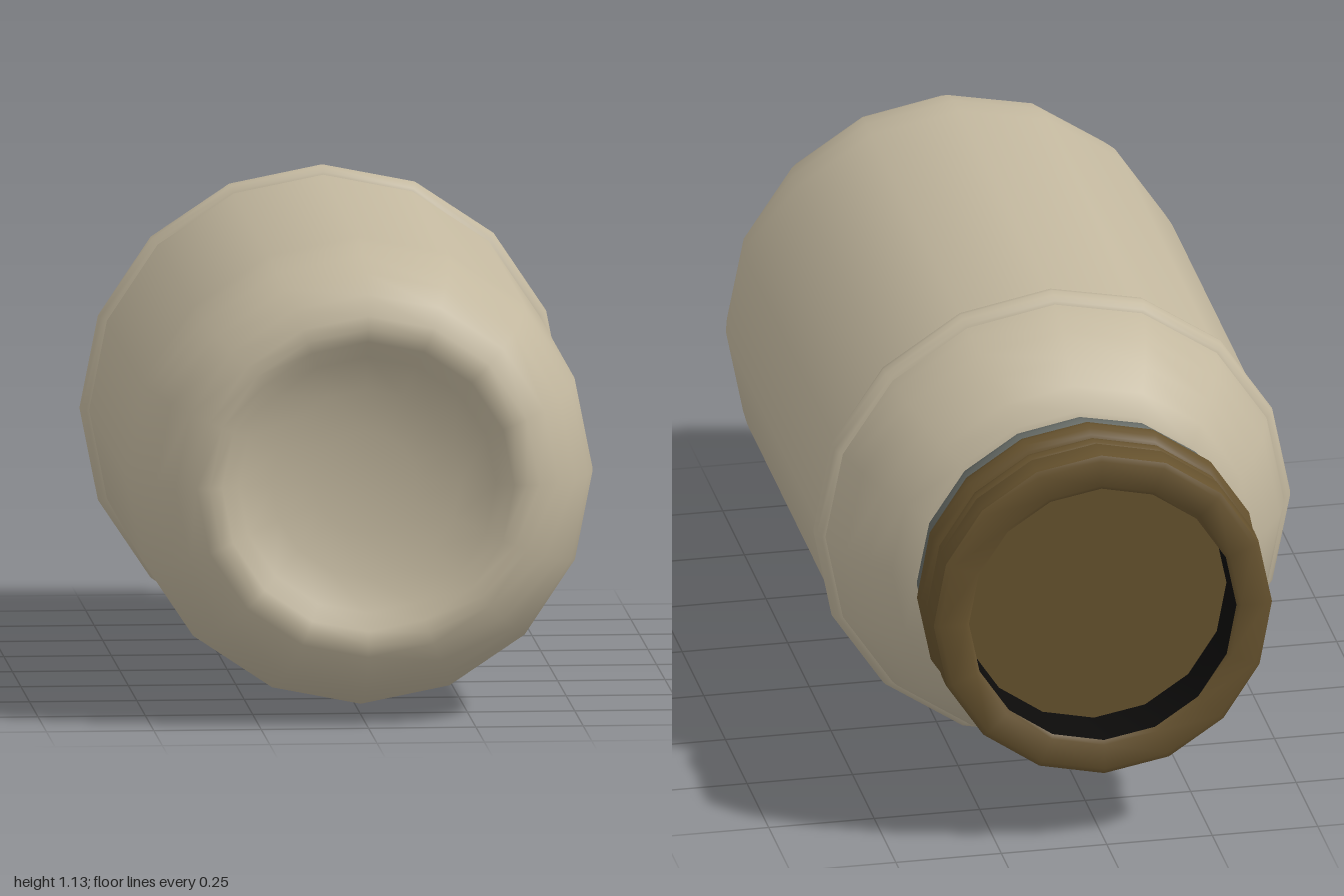
import * as THREE from 'three';
import { toCreasedNormals } from 'three/addons/utils/BufferGeometryUtils.js';

const SIDES = 16;
const AXIS_Y = 0.565;

const mat = (name, color, side = THREE.FrontSide) => {
  const m = new THREE.MeshStandardMaterial({ color, side });
  m.name = name;
  return m;
};

// Turned part lying along z; points are [radius, z], listed from back to front
function turned(name, points, material) {
  const lathe = new THREE.LatheGeometry(points.map(([r, z]) => new THREE.Vector2(r, z)), SIDES);
  lathe.rotateX(Math.PI / 2);
  const mesh = new THREE.Mesh(toCreasedNormals(lathe, 0.75), material);
  mesh.name = name;
  return mesh;
}

// Half-round bead profile between two z values
function bead(r, bulge, z0, z1, n = 6) {
  return Array.from({ length: n + 1 }, (_, i) => {
    const a = (i / n) * Math.PI;
    return [r + bulge * Math.sin(a), (z0 + z1) / 2 - ((z1 - z0) / 2) * Math.cos(a)];
  });
}

export function createModel() {
  const cream = mat('cream', 0xc3b89f);
  const grey = mat('grey', 0x656a65);
  const brown = mat('brown', 0x66522e);
  const black = mat('black', 0x0c0b0a, THREE.DoubleSide);

  const model = new THREE.Group();
  model.name = 'jar';

  const jar = new THREE.Group();
  jar.name = 'jarBody';
  jar.position.y = AXIS_Y;
  model.add(jar);

  // Shoulder, straight wall, rounded base and its hollow underside
  jar.add(turned('body', [
    [0.36, -0.66], [0.385, -0.655], [0.43, -0.61], [0.475, -0.555], [0.515, -0.49],
    [0.537, -0.43], [0.545, -0.39], [0.545, -0.3], [0.545, 0.7], [0.54, 0.77],
    [0.523, 0.84], [0.49, 0.91], [0.447, 0.965], [0.4, 0.992], [0.37, 1.0],
    [0.34, 0.992], [0.3, 0.965], [0.22, 0.935], [0.12, 0.918], [0, 0.912],
  ], cream));
  jar.add(turned('shoulderRing', bead(0.538, 0.027, -0.4, -0.33), cream));

  // Neck with its bead
  jar.add(turned('neck', [[0.3, -0.8], [0.362, -0.8], [0.37, -0.78], [0.37, -0.64]], grey));
  jar.add(turned('neckRing', bead(0.365, 0.024, -0.735, -0.67), grey));

  // Lid, sitting slightly askew
  const lid = new THREE.Group();
  lid.name = 'lid';
  lid.position.set(0, 0.57, -0.87);
  lid.rotation.set(0.044, -0.035, 0);
  model.add(lid);

  lid.add(turned('lidPanel', [[0, 0.04], [0.315, 0.04]], brown));
  lid.add(turned('lidInnerWall', [[0.315, 0.045], [0.315, -0.1]], black));
  lid.add(turned('lidRim', [
    [0.315, -0.1], [0.325, -0.107], [0.385, -0.107], [0.398, -0.1],
    [0.4, -0.09], [0.4, -0.03], [0.394, -0.02], [0.375, -0.016],
  ], brown));
  lid.add(turned('lidCore', [[0.381, -0.03], [0.381, 0.115]], black));
  lid.add(turned('lidMiddleRing', bead(0.378, 0.017, -0.014, 0.035), brown));
  lid.add(turned('lidLowerRing', bead(0.378, 0.029, 0.038, 0.118), brown));
  lid.add(turned('lidSkirtLining', [[0.381, 0.115], [0.345, 0.11]], black));

  return model;
}
